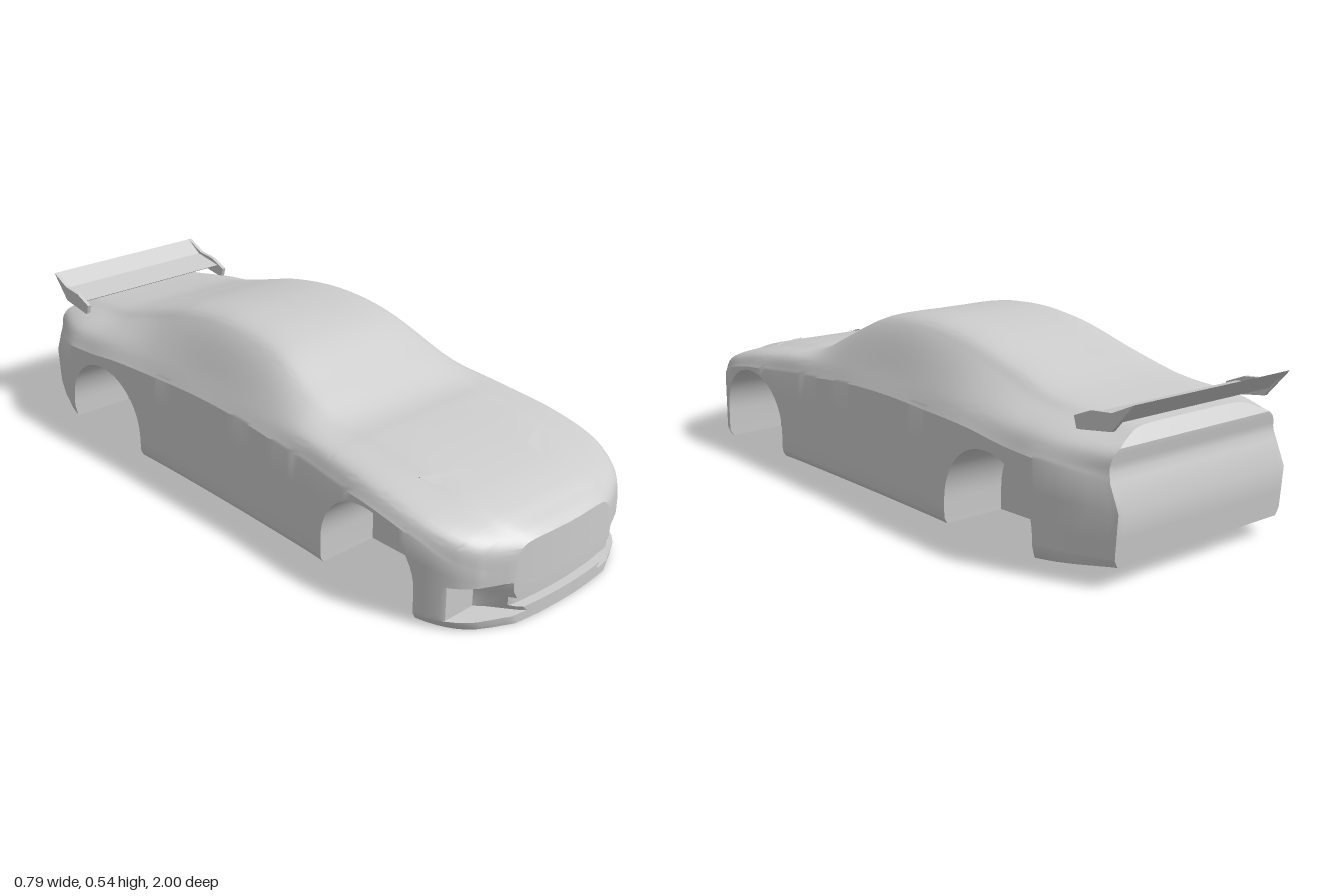
import * as THREE from 'three';
import { toCreasedNormals } from 'three/addons/utils/BufferGeometryUtils.js';

// Body stations: z, underside, half width, shoulder y, belt x/y, roof edge x/y, top y
const ROWS = [
  [0.985, 0.004, 0.2, 0.15, 0.195, 0.205, 0.165, 0.228, 0.236],
  [0.96, 0.004, 0.262, 0.16, 0.25, 0.218, 0.18, 0.246, 0.254],
  [0.9, 0.006, 0.335, 0.19, 0.315, 0.25, 0.21, 0.276, 0.284],
  [0.8, 0.012, 0.382, 0.25, 0.355, 0.288, 0.24, 0.307, 0.316],
  [0.65, 0.02, 0.392, 0.285, 0.36, 0.323, 0.25, 0.338, 0.345],
  [0.5, 0.02, 0.385, 0.295, 0.352, 0.342, 0.25, 0.357, 0.363],
  [0.4, 0.02, 0.379, 0.305, 0.347, 0.352, 0.26, 0.366, 0.373],
  [0.28, 0.02, 0.376, 0.315, 0.344, 0.36, 0.28, 0.405, 0.43],
  [0.1, 0.021, 0.374, 0.33, 0.343, 0.375, 0.262, 0.478, 0.515],
  [-0.1, 0.022, 0.374, 0.335, 0.342, 0.38, 0.258, 0.5, 0.54],
  [-0.3, 0.025, 0.379, 0.33, 0.345, 0.378, 0.256, 0.48, 0.52],
  [-0.5, 0.03, 0.39, 0.325, 0.352, 0.368, 0.256, 0.432, 0.466],
  [-0.65, 0.035, 0.394, 0.31, 0.357, 0.358, 0.265, 0.398, 0.424],
  [-0.8, 0.045, 0.386, 0.3, 0.35, 0.352, 0.25, 0.386, 0.401],
  [-0.9, 0.06, 0.315, 0.27, 0.3, 0.335, 0.235, 0.372, 0.388],
];
const ARCHES = [{ z: 0.63, y: 0.1, r: 0.175 }, { z: -0.58, y: 0.097, r: 0.184 }];
const WELL_X = 0.18;
const LEVELS = [0, 0.015, 0.03, 0.031, 0.045, 0.046, 0.08, 0.081, 0.105, 0.13, 0.131];
const clamp = THREE.MathUtils.clamp;
const V = (x, y, z) => new THREE.Vector3(x, y, z);
const mat = new THREE.MeshStandardMaterial({ color: 0xcccccc });
const matDouble = new THREE.MeshStandardMaterial({ color: 0xcccccc, side: THREE.DoubleSide });

// Smooth interpolation of the station table
function rowAt(z) {
  let i = 0;
  while (i < ROWS.length - 2 && z < ROWS[i + 1][0]) i++;
  const a = ROWS[i], b = ROWS[i + 1], p = ROWS[Math.max(0, i - 1)], n = ROWS[Math.min(ROWS.length - 1, i + 2)];
  const h = b[0] - a[0], t = (z - a[0]) / h, t2 = t * t, t3 = t2 * t;
  return a.map((v, k) => {
    const m0 = (b[k] - p[k]) / (b[0] - p[0]) * h, m1 = (n[k] - a[k]) / (n[0] - a[0]) * h;
    return (2 * t3 - 3 * t2 + 1) * v + (t3 - 2 * t2 + t) * m0 + (3 * t2 - 2 * t3) * b[k] + (t3 - t2) * m1;
  });
}

function piecewise(pts, x) {
  for (let i = 1; i < pts.length; i++) {
    const [x0, y0] = pts[i - 1], [x1, y1] = pts[i];
    if (x <= x1) return y0 + (y1 - y0) * clamp((x - x0) / (x1 - x0), 0, 1);
  }
  return pts[pts.length - 1][1];
}

// Curves the nose, sinks the intakes and pushes out the rear bumper
const TAIL = [[0.06, 0.073], [0.22, 0.084], [0.245, 0.06], [0.3, 0.043], [0.35, 0.05], [0.39, 0.02]];
function warp(p, openings = true) {
  let { x, y, z } = p;
  const ax = Math.abs(x);
  if (z > 0.94) z += (z - 0.94) / 0.045 * (0.015 * (1 - (x / 0.2) ** 2) * (ax < 0.28 ? 1 : 0.5) - 0.04 * Math.max(0, y - 0.1));
  if (z < -0.8) z += (z + 0.8) / 0.1 * piecewise(TAIL, y);
  if (openings && z > 0.85) {
    if (y > 0.0455 && y < 0.0805 && ax < 0.19) z -= 0.025;
    if (y > 0.0305 && y < 0.1305) z = Math.min(z, 0.885 + 0.1 * Math.max(0, 0.235 - ax) / (0.01 + 0.65 * (0.13 - y)));
  }
  return V(x, y, z);
}

// Half cross-section from the lower edge up to the roof centre
function halfSection(z, low) {
  const [, yb, w, ysh, xb, ybelt, xr, yr, top] = rowAt(z);
  const curve = new THREE.CatmullRomCurve3([V(w, ysh, z), V(xb, ybelt, z), V(xr, yr, z),
    V(xr * 0.82, yr + 0.8 * (top - yr), z), V(0, top, z)], false, 'centripetal');
  const bottom = Math.max(yb, low);
  const lower = [...LEVELS, (0.131 + ysh) / 2].map((l) => {
    const y = Math.max(bottom, l);
    return V(w - 0.012 * clamp(1 - (y - yb) / 0.025, 0, 1) ** 2, y, z);
  });
  const upper = curve.getPoints(24).map((p) => V(Math.max(0, p.x), Math.max(bottom, p.y), z));
  return [...lower, ...upper];
}

// Triangulates rows of points; the face normal is (row direction) x (column direction)
function addGrid(out, rows) {
  const tri = (a, b, c) => {
    if (V().crossVectors(b.clone().sub(a), c.clone().sub(a)).length() < 1e-10) return;
    for (const p of [a, b, c]) out.push(p.x, p.y, p.z);
  };
  for (let s = 0; s + 1 < rows.length; s++) for (let u = 0; u + 1 < rows[s].length; u++) {
    const a = rows[s][u], b = rows[s + 1][u], c = rows[s + 1][u + 1], d = rows[s][u + 1];
    tri(a, b, c); tri(a, c, d);
  }
}

function makeMesh(name, positions, material = mat, crease = 0.6) {
  const g = new THREE.BufferGeometry();
  g.setAttribute('position', new THREE.Float32BufferAttribute(positions, 3));
  const mesh = new THREE.Mesh(toCreasedNormals(g, crease), material);
  mesh.name = name;
  return mesh;
}

// Stations from front to back, doubled at the vertical ends of each wheel arch
function makeStations() {
  const list = [];
  const inArch = (z) => ARCHES.some((a) => Math.abs(z - a.z) <= a.r + 0.004);
  for (let z = 0.985; z > 0.87; z -= 0.0075) list.push({ z, low: 0 });
  for (let z = 0.86; z > -0.9; z -= 0.025) if (!inArch(z)) list.push({ z, low: 0 });
  list.push({ z: -0.9, low: 0 });
  for (const a of ARCHES) {
    for (let i = 0; i <= 24; i++) {
      const t = i / 24 * Math.PI;
      list.push({ z: a.z + a.r * Math.cos(t), low: a.y + a.r * Math.sin(t), arch: a });
    }
    for (const s of [-1, 1]) list.push({ z: a.z + s * (a.r + 1e-4), low: 0 });
  }
  list.sort((p, q) => q.z - p.z);
  for (const s of list) { s.half = halfSection(s.z, s.low); s.yb = rowAt(s.z)[1]; }
  return list;
}

function surfaceY(x, z) {
  const h = halfSection(z, 0);
  for (let i = h.length - 1; i > 0; i--) {
    if (h[i - 1].x >= x) return h[i].y + (h[i - 1].y - h[i].y) * (x - h[i].x) / (h[i - 1].x - h[i].x || 1);
  }
  return h[0].y;
}

function extrudeSide(name, pts, x0, x1) {
  const shape = new THREE.Shape(pts.map(([z, y]) => new THREE.Vector2(-z, y)));
  const g = new THREE.ExtrudeGeometry(shape, { depth: x1 - x0, bevelEnabled: false });
  g.rotateY(Math.PI / 2).translate(x0, 0, 0);
  const m = new THREE.Mesh(g, mat);
  m.name = name;
  return m;
}

export function createModel() {
  const car = new THREE.Group();
  car.name = 'carBody';
  const stations = makeStations();
  const mirror = (p) => V(-p.x, p.y, p.z);

  // Outer skin with closed nose and tail
  const skin = [];
  addGrid(skin, stations.map(({ half }) => [...half, ...half.slice(0, -1).reverse().map(mirror)].map((p) => warp(p))));
  const cap = (half, dir) => half.map((p) => Array.from({ length: 33 }, (_, i) => warp(V(dir * p.x * (i / 16 - 1), p.y, p.z))));
  addGrid(skin, cap(stations[0].half, -1));
  addGrid(skin, cap(stations[stations.length - 1].half, 1));
  car.add(makeMesh('bodyShell', skin));

  // Flat floor, wheel well linings and inner walls
  const floor = [], wells = [];
  for (let i = 0; i + 1 < stations.length; i++) {
    const pair = [stations[i], stations[i + 1]];
    const both = pair[0].arch && pair[1].arch;
    if (both || !(pair[0].arch || pair[1].arch)) {
      addGrid(floor, pair.map((s) => {
        const x = both ? WELL_X : s.half[0].x;
        return [warp(V(-x, s.yb, s.z)), warp(V(x, s.yb, s.z))];
      }));
    }
    if (!pair[0].arch && !pair[1].arch) continue;
    addGrid(wells, pair.map(({ half: [p] }) => [V(WELL_X, p.y, p.z), p]));
    addGrid(wells, pair.map(({ half: [p] }) => [mirror(p), V(-WELL_X, p.y, p.z)]));
    addGrid(wells, pair.map((s) => [V(WELL_X, s.yb, s.z), V(WELL_X, s.half[0].y, s.z)]));
    addGrid(wells, pair.map((s) => [V(-WELL_X, s.half[0].y, s.z), V(-WELL_X, s.yb, s.z)]));
  }
  car.add(makeMesh('floor', floor), makeMesh('wheelWells', wells));

  // Grille panel following the nose
  const grille = [];
  const outline = [[0.117, 0.14], [0.124, 0.178], [0.135, 0.185], [0.17, 0.175], [0.213, 0.161], [0.222, 0.145]];
  addGrid(grille, outline.map(([y, w]) => Array.from({ length: 17 }, (_, i) => {
    const p = warp(V(w * (1 - i / 8), y, 0.985), false);
    p.z += 0.002;
    return p;
  })));
  car.add(makeMesh('grille', grille, matDouble));

  // Bonnet vents
  for (const side of [1, -1]) {
    const at = (x, z, lift) => V(side * x, surfaceY(x, z) + lift, z);
    const vent = [];
    addGrid(vent, [[at(0.115, 0.8, 0.002), at(0.235, 0.735, 0.002)], [at(0.12, 0.745, 0.005), at(0.25, 0.69, 0.005)],
      [at(0.12, 0.742, -0.002), at(0.25, 0.687, -0.002)]]);
    car.add(makeMesh(side > 0 ? 'leftBonnetVent' : 'rightBonnetVent', vent, matDouble));
  }

  // Rear wing with end plates
  const wing = new THREE.Group();
  wing.name = 'rearWing';
  wing.add(extrudeSide('wingBlade', [[-0.83, 0.412], [-0.94, 0.43], [-1, 0.47], [-0.945, 0.414], [-0.85, 0.402]], -0.285, 0.285));
  const plate = [[-0.8, 0.405], [-0.86, 0.43], [-0.93, 0.437], [-1, 0.47], [-0.93, 0.39], [-0.81, 0.372]];
  for (const side of [1, -1]) {
    wing.add(extrudeSide(side > 0 ? 'leftEndPlate' : 'rightEndPlate', plate, side * 0.287 - 0.006, side * 0.287 + 0.006));
  }
  car.add(wing);
  return car;
}
